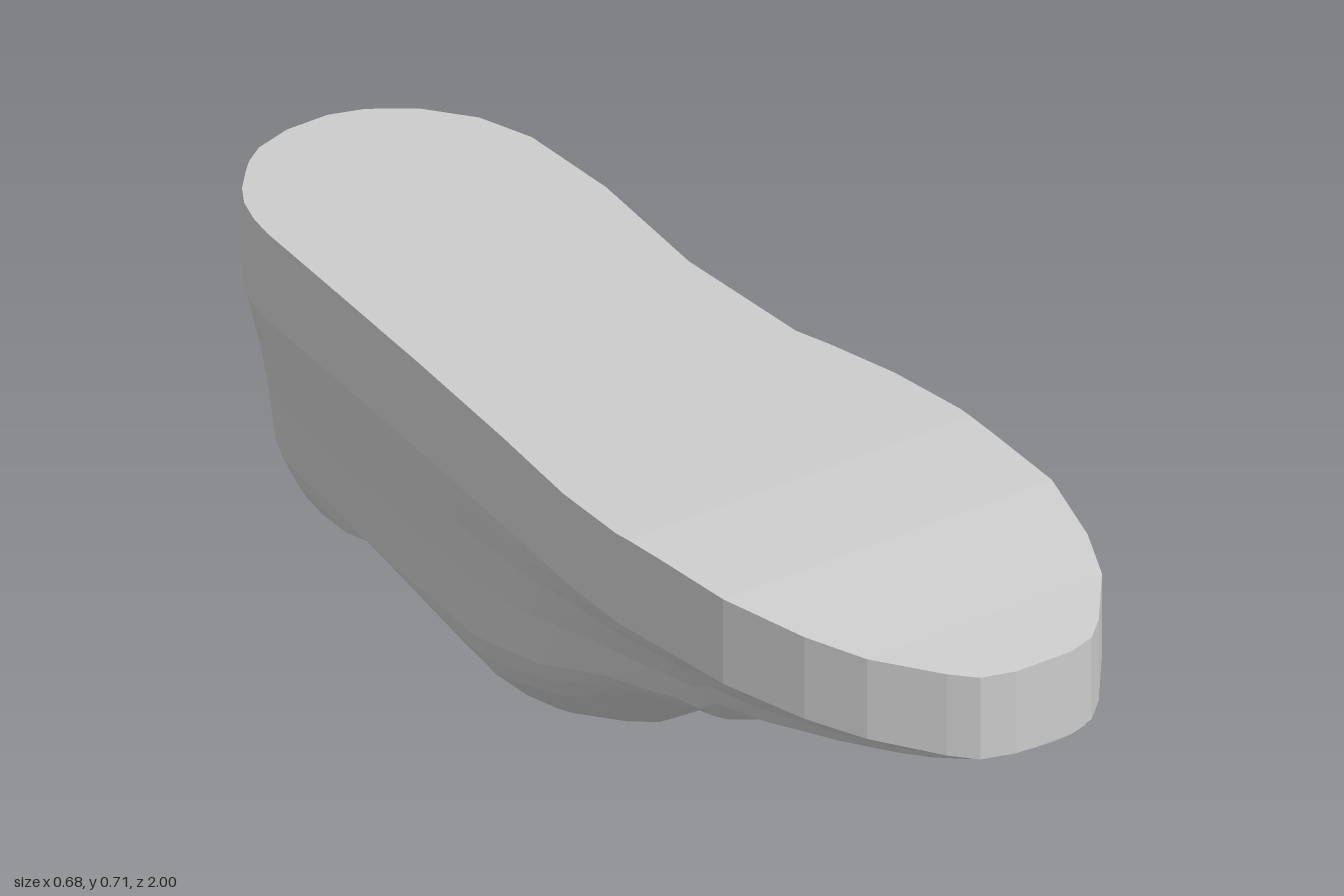
import * as THREE from 'three';

const material = new THREE.MeshStandardMaterial({ color: 0xcccccc, flatShading: true, side: THREE.DoubleSide });

// Piecewise-linear lookup in a list of [position, value] pairs with rising position
function at(profile, z) {
  if (z <= profile[0][0]) return profile[0][1];
  for (let i = 1; i < profile.length; i++) {
    const [z0, a] = profile[i - 1], [z1, b] = profile[i];
    if (z <= z1) return a + (b - a) * (z - z0) / (z1 - z0);
  }
  return profile[profile.length - 1][1];
}

// Sole outline on both sides
const rightEdge = [[-1, 0], [-0.98, -0.07], [-0.95, -0.115], [-0.89, -0.17], [-0.85, -0.195], [-0.78, -0.22], [-0.55, -0.245], [-0.28, -0.275],
  [0, -0.31], [0.2, -0.337], [0.35, -0.343], [0.6, -0.315], [0.75, -0.265], [0.85, -0.215], [0.95, -0.13], [0.985, -0.09], [1, -0.03]];
const leftEdge = [[-1, 0.08], [-0.98, 0.14], [-0.93, 0.21], [-0.85, 0.27], [-0.75, 0.3], [-0.55, 0.3], [-0.28, 0.265],
  [0, 0.27], [0.07, 0.29], [0.2, 0.32], [0.35, 0.337], [0.6, 0.335], [0.75, 0.295], [0.85, 0.25], [0.95, 0.17], [0.985, 0.13], [1, 0.08]];
// Heights: tread face, joint between sole and upper, lowest line of the upper
const tread = [[-1, 0.708], [0, 0.706], [0.4, 0.7], [0.6, 0.685], [0.83, 0.658], [1, 0.64]];
const joint = [[-1, 0.55], [0.2, 0.545], [0.6, 0.53], [0.85, 0.51], [1, 0.49]];
const keel = [[-1, 0.545], [-0.97, 0.38], [-0.92, 0.2], [-0.87, 0.08], [-0.85, 0.06], [-0.8, 0.04], [-0.5, 0], [-0.21, 0], [-0.16, 0.015],
  [0, 0.08], [0.2, 0.21], [0.23, 0.222], [0.38, 0.288], [0.45, 0.3], [0.49, 0.345], [0.83, 0.43], [0.92, 0.445], [1, 0.485]];
// Rim of the ankle opening
const rim = [[-0.85, 0.06], [-0.8, 0.1], [-0.75, 0.125], [-0.64, 0.185], [-0.55, 0.22], [-0.45, 0.205], [-0.235, 0.145], [-0.21, 0]];
// Share of the sole width left at each share of the depth
const taper = [[0, 1], [0.1, 0.96], [0.2, 0.91], [0.4, 0.84], [0.6, 0.8], [0.68, 0.74], [0.76, 0.65], [0.87, 0.43], [0.95, 0.22], [1, 0]];

const stations = [-1, -0.99, -0.98, -0.955, -0.93, -0.89, -0.85, -0.82, -0.8, -0.75, -0.64, -0.55, -0.45, -0.28, -0.235, -0.21, -0.16,
  -0.08, 0, 0.07, 0.2, 0.23, 0.35, 0.38, 0.45, 0.49, 0.6, 0.68, 0.75, 0.85, 0.9, 0.95, 0.985, 1];

// Skin over equal-length rows of points
function loft(rows, name, closed = false) {
  const n = rows[0].length, index = [];
  for (let i = 0; i < rows.length - 1; i++) {
    for (let j = 0; j < (closed ? n : n - 1); j++) {
      const a = i * n + j, b = i * n + (j + 1) % n;
      index.push(a, a + n, b, b, a + n, b + n);
    }
  }
  if (closed) {
    const last = (rows.length - 1) * n;
    for (let j = 1; j < n - 1; j++) index.push(0, j, j + 1, last, last + j + 1, last + j);
  }
  const geometry = new THREE.BufferGeometry();
  geometry.setAttribute('position', new THREE.Float32BufferAttribute(rows.flat(2), 3));
  geometry.setIndex(index);
  geometry.computeVertexNormals();
  const mesh = new THREE.Mesh(geometry, material);
  mesh.name = name;
  return mesh;
}

// One half of an upper cross-section, from the joint down to the keel or the rim
function halfSection(z, side) {
  const r = at(rightEdge, z), l = at(leftEdge, z);
  const top = at(joint, z), depth = top - at(keel, z);
  const open = z > -0.85 && z < -0.21;
  const end = open ? (top - at(rim, z)) / depth : 1;
  return taper.map(([share]) => {
    const down = Math.min(share, end);
    const x = (r + l) / 2 + side * (l - r) / 2 * 0.99 * at(taper, down);
    return [x + 0.02 * down, top - depth * down, z * 0.997];
  });
}

export function createModel() {
  const group = new THREE.Group();
  group.name = 'upturnedShoe';

  // Thick sole, tread facing up, its inner face closing the hollow upper
  group.add(loft(stations.map((z) => {
    const r = at(rightEdge, z), l = at(leftEdge, z), low = at(joint, z), high = at(tread, z);
    return [[r, low, z], [r, high, z], [l, high, z], [l, low, z]];
  }), 'sole', true));

  // Upper in two halves, joined along the toe and heel and open at the ankle
  group.add(loft(stations.map((z) => halfSection(z, 1)), 'upperLeft'));
  group.add(loft(stations.map((z) => halfSection(z, -1)), 'upperRight'));
  return group;
}
